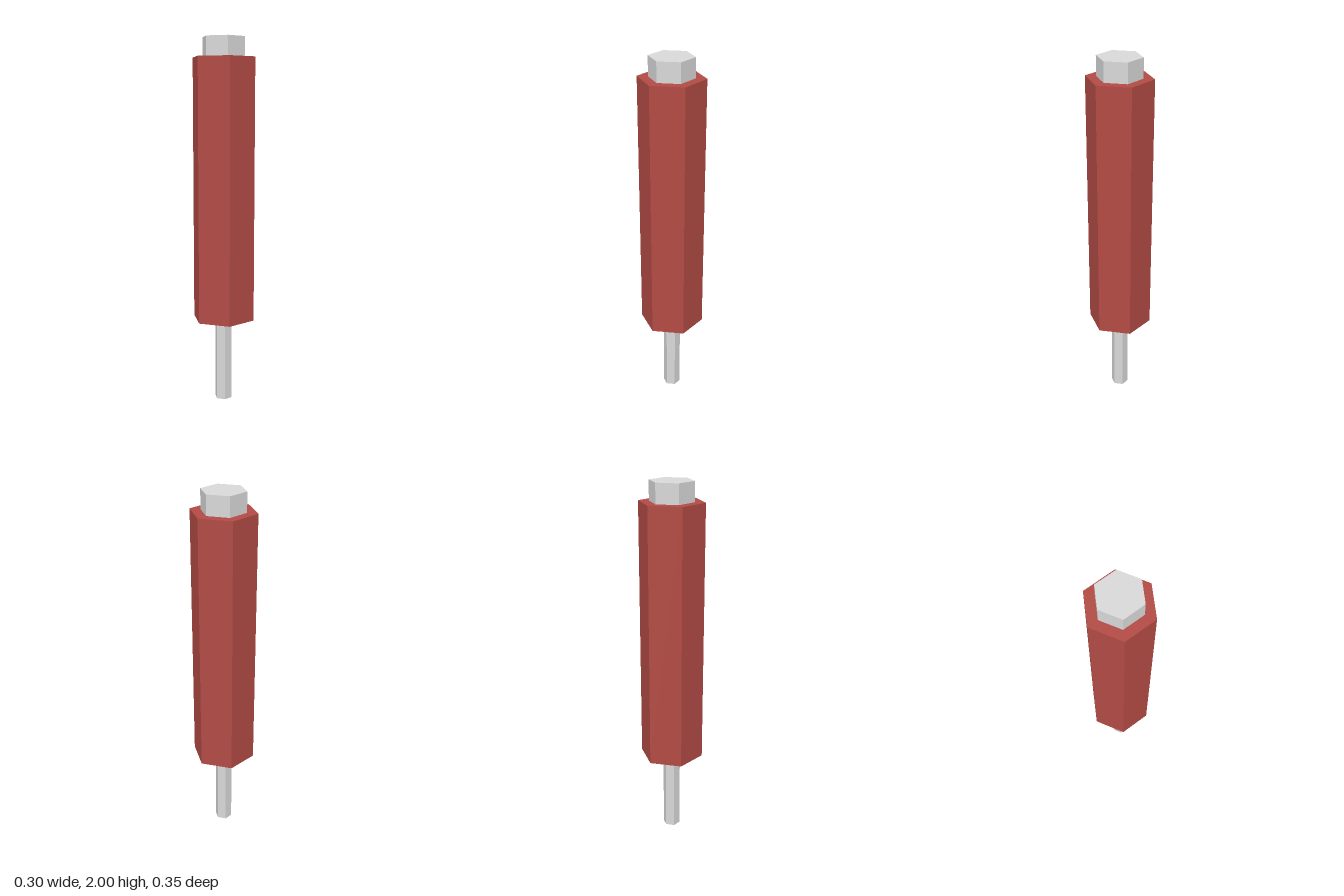
import * as THREE from 'three';

export function createModel() {
  const group = new THREE.Group();
  group.name = 'hexHandledTool';

  const red = new THREE.MeshStandardMaterial({ color: 0xb34b45, flatShading: true });
  red.name = 'handle red';
  const steel = new THREE.MeshStandardMaterial({ color: 0xd9d9d9, flatShading: true });
  steel.name = 'light steel';

  // Upright hexagonal prism with a corner facing the front
  function hexPrism(name, radius, bottom, top, material) {
    const geometry = new THREE.CylinderGeometry(radius, radius, top - bottom, 6);
    const mesh = new THREE.Mesh(geometry, material);
    mesh.name = name;
    mesh.position.y = (bottom + top) / 2;
    group.add(mesh);
  }

  hexPrism('shaft', 0.048, 0, 0.465, steel);
  hexPrism('handle', 0.176, 0.465, 1.895, red);
  hexPrism('endCap', 0.119, 1.895, 2, steel);

  return group;
}
